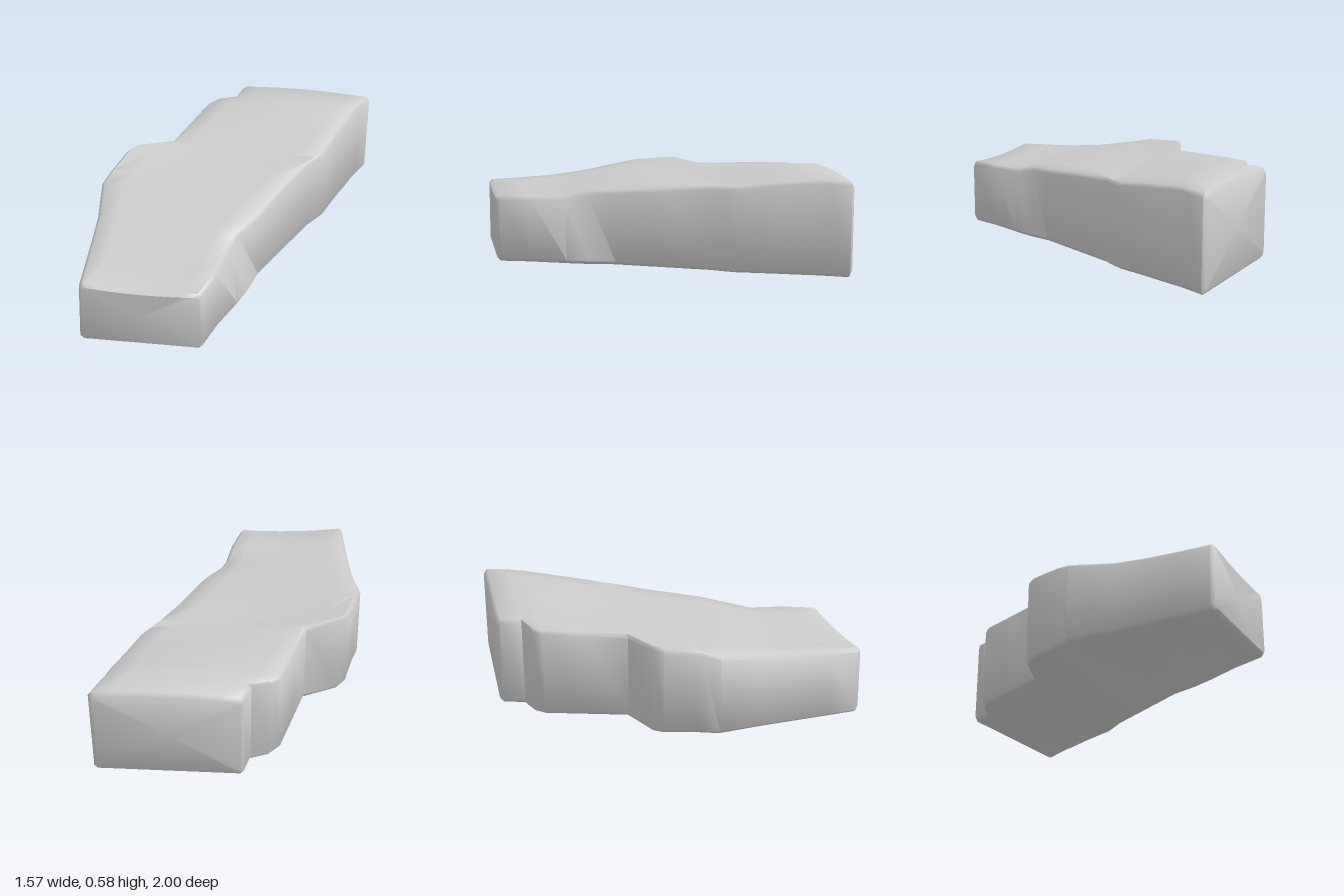
import * as THREE from 'three';
import { toCreasedNormals } from 'three/addons/utils/BufferGeometryUtils.js';

// Cross-sections from front to back:
// [left z, left x at foot, left x at top, left height, middle height, right height, right z, right x at foot, right x at top]
const SECTIONS = [
  [0.98, -0.76, -0.74, 0.405, 0.385, 0.395, 0.98, -0.06, -0.06],
  [0.80, -0.765, -0.745, 0.41, 0.395, 0.40, 0.80, 0.00, 0.00],
  [0.60, -0.77, -0.75, 0.42, 0.41, 0.40, 0.60, 0.09, 0.04],
  [0.40, -0.775, -0.755, 0.44, 0.44, 0.43, 0.47, 0.14, 0.08],
  [0.13, -0.79, -0.785, 0.485, 0.475, 0.45, 0.32, 0.18, 0.18],
  [0.03, -0.75, -0.75, 0.51, 0.485, 0.48, 0.00, 0.34, 0.33],
  [-0.17, -0.69, -0.69, 0.525, 0.495, 0.50, -0.20, 0.44, 0.44],
  [-0.22, -0.65, -0.65, 0.53, 0.50, 0.50, -0.27, 0.49, 0.49],
  [-0.31, -0.43, -0.43, 0.52, 0.51, 0.505, -0.33, 0.53, 0.53],
  [-0.54, -0.35, -0.35, 0.525, 0.535, 0.53, -0.52, 0.60, 0.60],
  [-0.77, -0.27, -0.27, 0.53, 0.575, 0.55, -0.70, 0.675, 0.675],
  [-0.82, -0.22, -0.22, 0.535, 0.575, 0.555, -0.77, 0.70, 0.70],
  [-0.86, -0.10, -0.10, 0.54, 0.572, 0.555, -0.82, 0.725, 0.725],
  [-0.98, -0.06, -0.06, 0.545, 0.565, 0.55, -0.93, 0.78, 0.78],
];
const BEVEL = 0.02;
const TOP_STEPS = 8;

// One closed loop: foot, right wall, top surface, left wall
function sectionLoop([zL, xLb, xLt, yL, yM, yR, zR, xRb, xRt]) {
  const b = BEVEL;
  const loop = [];
  const add = (x, y, u) => loop.push(new THREE.Vector3(x, y, zL + (zR - zL) * u));
  add(xLb + b, 0, 0);
  add(xRb - b, 0, 1);
  add(xRb, b, 1);
  add(xRt, yR - b, 1);
  for (let i = TOP_STEPS; i >= 0; i--) {
    const u = i / TOP_STEPS;
    const side = yL + (yR - yL) * u;
    const bulge = (yM - (yL + yR) / 2) * 4 * u * (1 - u);
    add(THREE.MathUtils.lerp(xLt + b, xRt - b, u), side + bulge, u);
  }
  add(xLt, yL - b, 0);
  add(xLb, b, 0);
  return loop;
}

function loopCentre(loop) {
  const box = new THREE.Box3().setFromPoints(loop);
  return box.getCenter(new THREE.Vector3());
}

// Shrunken end loop that bevels the rim of an end face
function endLoop(loop, dz) {
  const c = loopCentre(loop);
  return loop.map((p) => new THREE.Vector3(
    c.x + (p.x - c.x) * 0.95, c.y + (p.y - c.y) * 0.92, p.z + dz));
}

function slabGeometry() {
  const loops = SECTIONS.map(sectionLoop);
  loops.unshift(endLoop(loops[0], BEVEL));
  loops.push(endLoop(loops[loops.length - 1], -BEVEL));
  const n = loops[0].length;
  const positions = [];
  const tri = (...pts) => pts.forEach((p) => positions.push(p.x, p.y, p.z));

  // Skin between neighbouring loops
  for (let i = 0; i < loops.length - 1; i++) {
    for (let j = 0; j < n; j++) {
      const k = (j + 1) % n;
      const a = loops[i][j], b = loops[i][k];
      const c = loops[i + 1][j], d = loops[i + 1][k];
      tri(a, c, b);
      tri(b, c, d);
    }
  }
  // Front and back faces
  const front = loops[0], back = loops[loops.length - 1];
  const cf = loopCentre(front), cb = loopCentre(back);
  for (let j = 0; j < n; j++) {
    const k = (j + 1) % n;
    tri(cf, front[j], front[k]);
    tri(cb, back[k], back[j]);
  }

  const geometry = new THREE.BufferGeometry();
  geometry.setAttribute('position', new THREE.Float32BufferAttribute(positions, 3));
  return toCreasedNormals(geometry, 0.87);
}

export function createModel() {
  const group = new THREE.Group();
  group.name = 'rock';
  const slab = new THREE.Mesh(slabGeometry(), new THREE.MeshStandardMaterial({ color: 0xcccccc }));
  slab.name = 'rockSlab';
  group.add(slab);
  return group;
}
